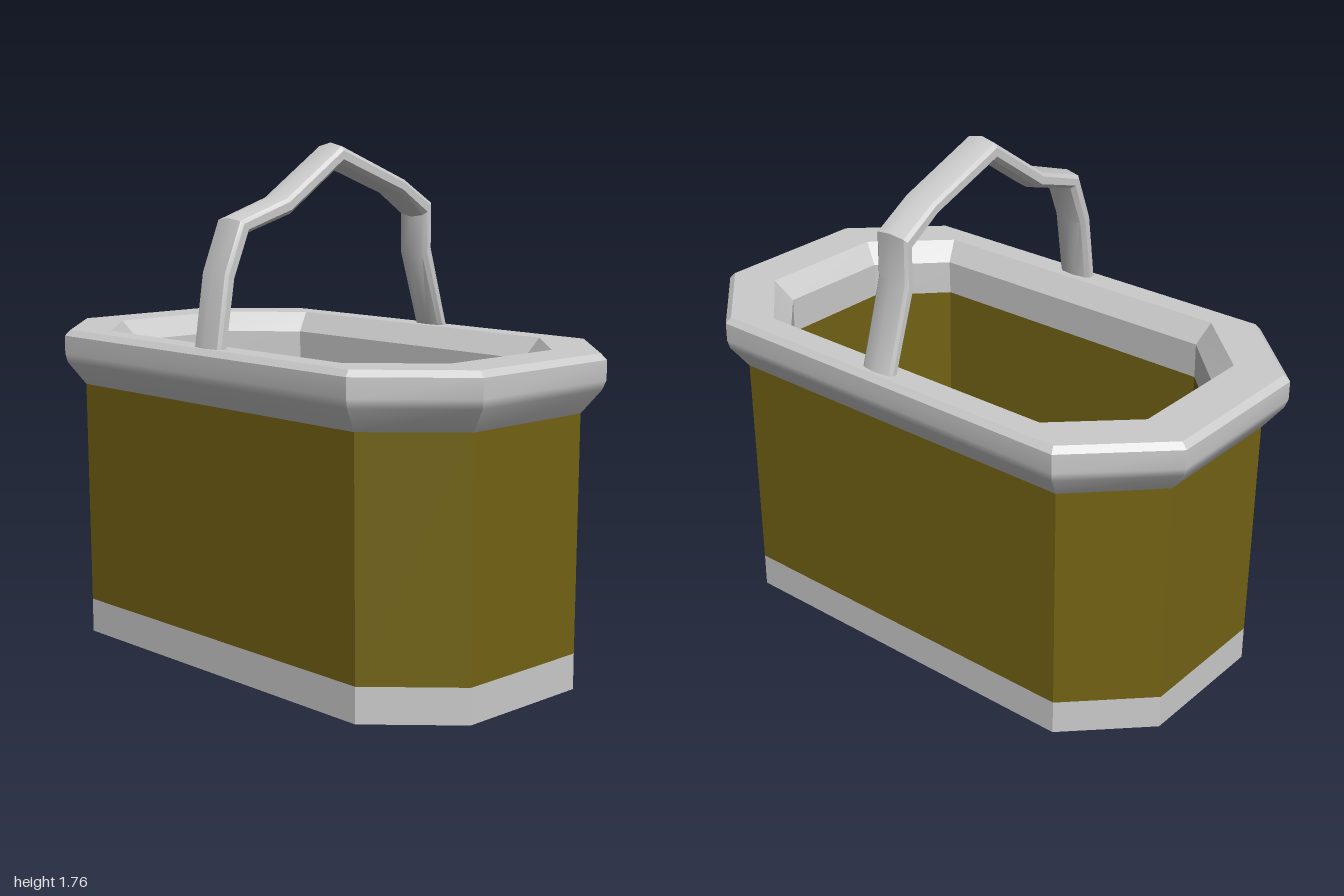
import * as THREE from 'three';
import { mergeGeometries, toCreasedNormals } from 'three/addons/utils/BufferGeometryUtils.js';

const grey = new THREE.MeshStandardMaterial({ color: 0xcccccc });
const olive = new THREE.MeshStandardMaterial({ color: 0x736314 });

// Corners of a chamfered rectangle: half width/depth (hx, hz), chamfer start (cx, cz)
const octagon = ([hx, hz, cx, cz, y]) => [
  [-cx, y, hz], [cx, y, hz], [hx, y, cz], [hx, y, -cz],
  [cx, y, -hz], [-cx, y, -hz], [-hx, y, -cz], [-hx, y, cz],
];

// Skins a stack of octagon rings; sides are split at the corners, smooth along the profile
function loft(...profile) {
  const rings = profile.map(octagon);
  const position = [], index = [];
  for (let s = 0; s < 8; s++) {
    const base = position.length / 3;
    rings.forEach((r) => position.push(...r[s], ...r[(s + 1) % 8]));
    for (let k = 0; k < rings.length - 1; k++) {
      const a = base + k * 2;
      index.push(a, a + 1, a + 3, a, a + 3, a + 2);
    }
  }
  const g = new THREE.BufferGeometry();
  g.setAttribute('position', new THREE.Float32BufferAttribute(position, 3));
  g.setIndex(index);
  g.computeVertexNormals();
  return g;
}

// Sweeps a faceted section along paired outer/inner edge points [z, y]
function handleGeometry(outer, inner, centreX) {
  // [sideways offset, position from inner (0) to outer (1) edge]
  const section = [
    [0, 1], [0.055, 0.85], [0.065, 0.68], [0.065, 0.32],
    [0.05, 0.12], [0, 0], [-0.05, 0.12], [-0.065, 0.32], [-0.065, 0.68], [-0.055, 0.85],
  ];
  const n = section.length, position = [], index = [];
  outer.forEach(([oz, oy], i) => {
    const [iz, iy] = inner[i];
    section.forEach(([u, v]) => position.push(centreX + u, iy + (oy - iy) * v, iz + (oz - iz) * v));
  });
  for (let i = 0; i < outer.length - 1; i++) {
    for (let j = 0; j < n; j++) {
      const a = i * n + j, b = i * n + (j + 1) % n;
      index.push(a, b, b + n, a, b + n, a + n);
    }
  }
  const g = new THREE.BufferGeometry();
  g.setAttribute('position', new THREE.Float32BufferAttribute(position, 3));
  g.setIndex(index);
  return toCreasedNormals(g, 0.55);
}

export function createModel() {
  const group = new THREE.Group();
  const add = (name, geometry, material) => {
    const mesh = new THREE.Mesh(geometry, material);
    mesh.name = name;
    group.add(mesh);
  };

  // Rings: [hx, hz, cx, cz, y]
  const foot = [0.93, 0.5, 0.68, 0.25, 0];
  const footTop = [0.93, 0.5, 0.68, 0.25, 0.12];
  const wallTop = [0.93, 0.508, 0.68, 0.255, 0.91];
  const innerTop = [0.76, 0.418, 0.56, 0.212, 0.91];
  const innerFloor = [0.76, 0.41, 0.56, 0.21, 0.12];

  // Base band with underside, and the inside floor
  add('base', mergeGeometries([loft([0, 0, 0, 0, 0], foot), loft(foot, footTop)]), grey);
  add('floor', loft(innerFloor, [0, 0, 0, 0, 0.12]), grey);

  // Coloured walls, outside and inside
  add('outerWall', loft(footTop, wallTop), olive);
  add('innerWall', loft(innerTop, innerFloor), olive);

  // Flared rim
  const flare = [0.99, 0.565, 0.708, 0.285, 0.99];
  const lipLow = [1, 0.573, 0.712, 0.293, 1.02];
  const lipHigh = [1, 0.573, 0.712, 0.293, 1.085];
  const topOuter = [0.98, 0.555, 0.703, 0.286, 1.105];
  const topInner = [0.82, 0.468, 0.582, 0.24, 1.105];
  const bevel = [0.76, 0.415, 0.56, 0.212, 1.035];
  add('rim', mergeGeometries([
    loft(wallTop, flare, lipLow, lipHigh),
    loft(lipHigh, topOuter),
    loft(topOuter, topInner),
    loft(topInner, bevel),
    loft(bevel, innerTop),
  ]), grey);

  // Bent carrying handle, front to back
  const outer = [[0.555, 1.08], [0.515, 1.35], [0.447, 1.52], [0.24, 1.59], [-0.012, 1.76],
    [-0.32, 1.64], [-0.46, 1.557], [-0.46, 1.4], [-0.55, 1.08]];
  const inner = [[0.497, 1.08], [0.457, 1.323], [0.396, 1.468], [0.218, 1.52], [-0.012, 1.678],
    [-0.294, 1.576], [-0.41, 1.497], [-0.41, 1.357], [-0.505, 1.08]];
  add('handle', handleGeometry(outer, inner, 0.033), grey);

  return group;
}
